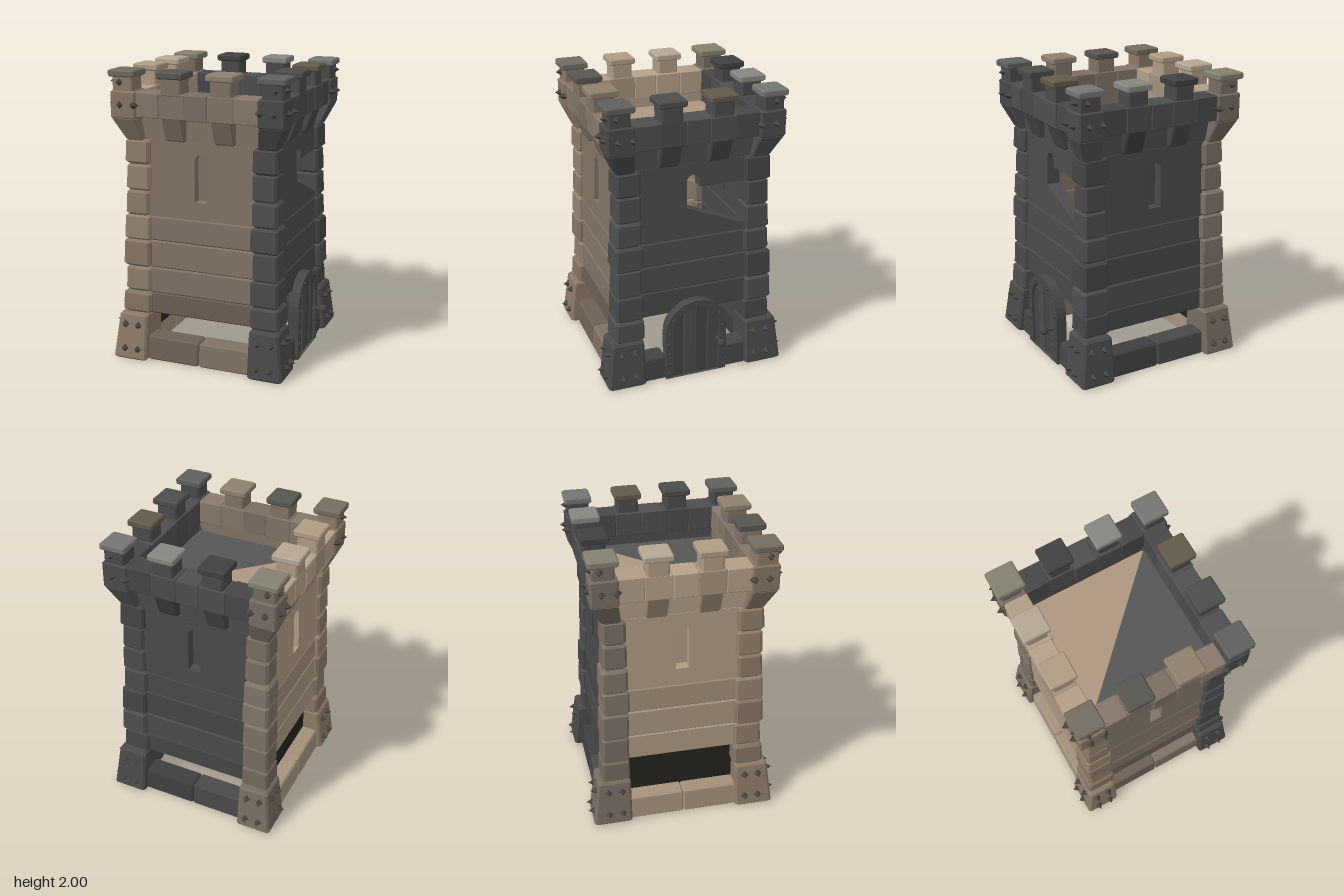
import * as THREE from 'three';

// small seeded generator for uneven masonry
let seed = 7;
const rnd = (a) => {
  seed = (seed * 16807) % 2147483647;
  return (seed / 2147483647 - 0.5) * 2 * a;
};

// colours by side: front, door side, back, blank side; corners run between them
const WALL = [0x817366, 0x4c4c4e, 0x4a4a4c, 0xae9a84];
const CORNER = [0x4a4a4c, 0x4a4a4c, 0x776d62, 0x8c7a68];
const CORNER_CAP = [0x5f5f5d, 0x747674, 0x83806e, 0x726c60];
const MERLON = [[0x585650, 0x8f806e], [0x4c4c4a, 0x635a4a], [0x868682, 0x414141], [0xb5a794, 0xb09c84]];
const IRON = 0x48443f, DOOR = 0x48484a, SHADE = 0x24221e;

function add(parent, name, geo, color, x = 0, y = 0, z = 0) {
  const m = new THREE.Mesh(geo, new THREE.MeshStandardMaterial({ color, flatShading: true }));
  m.name = name;
  m.position.set(x, y, z);
  parent.add(m);
  return m;
}

// slightly lighter or darker stone of the same colour
const vary = (color, k = 1) => new THREE.Color(color).multiplyScalar(k + rnd(0.14));

// closed solid through horizontal rings of equal point count
function loft(rings) {
  const n = rings[0].length, pos = rings.flat(2), idx = [];
  for (let r = 0; r < rings.length - 1; r++)
    for (let i = 0; i < n; i++) {
      const a = r * n + i, b = r * n + (i + 1) % n;
      idx.push(a, b, b + n, a, b + n, a + n);
    }
  const t = (rings.length - 1) * n;
  for (let i = 1; i < n - 1; i++) idx.push(t, t + i, t + i + 1, 0, i + 1, i);
  const g = new THREE.BufferGeometry();
  g.setAttribute('position', new THREE.Float32BufferAttribute(pos, 3));
  g.setIndex(idx);
  const flat = g.toNonIndexed();
  flat.computeVertexNormals();
  return flat;
}

// bevelled stone; lo and hi are [x0, x1, z0, z1] at its bottom and top
function stone(lo, hi, y0, y1, b = 0.01) {
  const ring = ([x0, x1, z0, z1], y, inset) => {
    x0 += inset; x1 -= inset; z0 += inset; z1 -= inset;
    return [[x1 - b, y, z1], [x1, y, z1 - b], [x1, y, z0 + b], [x1 - b, y, z0],
      [x0 + b, y, z0], [x0, y, z0 + b], [x0, y, z1 - b], [x0 + b, y, z1]];
  };
  return loft([ring(lo, y0, b), ring(lo, y0 + b, 0), ring(hi, y1 - b, 0), ring(hi, y1, b)]);
}

const levels = [0.33, 0.48, 0.66, 0.85, 1.02, 1.19, 1.37, 1.54];
const cornerOut = (y) => 0.56 - 0.035 * (y - 0.33) / 1.21;
const wallOut = (y) => cornerOut(y) - 0.025;
// corner bases reach further along z than along x
const baseOut = (y, alongZ) => (alongZ ? 0.635 : 0.615) - 0.11 * y;

// four-sided stud pointing to +z
const studGeo = new THREE.ConeGeometry(0.034, 0.05, 4).rotateX(Math.PI / 2);

// one corner column with base, flared head and merlon, at +x +z
function corner(g, k) {
  const sq = (i, o) => [i, o, i, o], color = CORNER[k];
  const base = (y) => [0.37, baseOut(y, k % 2), 0.37, baseOut(y, !(k % 2))];
  add(g, 'cornerBase', stone(base(0), base(0.33), 0, 0.33, 0.014), color);
  for (let i = 0; i < levels.length - 1; i++) {
    const o = cornerOut(levels[i]) + rnd(0.008), n = 0.365 + rnd(0.01);
    add(g, 'cornerStone', stone(sq(n, o + 0.002), sq(n, o - 0.004), levels[i], levels[i + 1], 0.012 + Math.abs(rnd(0.008))), vary(color));
  }
  add(g, 'cornerCorbel', stone(sq(0.4, 0.53), sq(0.425, 0.595), 1.53, 1.69), vary(color));
  add(g, 'cornerParapet', stone(sq(0.42, 0.6), sq(0.42, 0.6), 1.68, 1.865), vary(color));
  merlon(g, 0.515, 0.515, 0.094, color, CORNER_CAP[k]);
}

function merlon(g, x, z, h, color, capColor) {
  const s = h - 0.022, t = h - rnd(0.004);
  const box = (r) => [x - r, x + r, z - r, z + r];
  add(g, 'merlon', stone(box(s), box(s), 1.84, 1.975), color);
  add(g, 'merlonCap', stone(box(t), box(t), 1.955, 2, 0.008), capColor);
}

function archShape(S, half, y0, spring) {
  const s = new S();
  s.moveTo(-half, y0);
  s.lineTo(half, y0);
  s.lineTo(half, spring);
  s.absarc(0, spring, half, 0, Math.PI, false);
  s.lineTo(-half, y0);
  return s;
}

const polygon = (points) => new THREE.Shape(points.map((p) => new THREE.Vector2(...p)));

// upper wall with an arched slit; the broken one has a gap beside the slit
function upperWall(g, broken, color) {
  let s;
  if (broken) {
    s = polygon([[-0.38, 1.02], [0.38, 1.02], [0.38, 1.06], [-0.045, 1.23], [-0.045, 1.415]]);
    s.absarc(0, 1.415, 0.045, Math.PI, 0, true);
    for (const p of [[0.045, 1.37], [0.38, 1.37], [0.38, 1.54], [-0.38, 1.54]]) s.lineTo(...p);
  } else {
    s = polygon([[-0.38, 1.02], [0.38, 1.02], [0.38, 1.54], [-0.38, 1.54]]);
    s.holes.push(archShape(THREE.Path, 0.045, 1.14, 1.415));
    add(g, 'slitBack', new THREE.BoxGeometry(0.12, 0.36, 0.03), color, 0, 1.3, wallOut(1.3) - 0.085);
  }
  const geo = new THREE.ExtrudeGeometry(s, { depth: 0.09, bevelEnabled: false, curveSegments: 8 });
  geo.translate(0, -1.02, -0.09).rotateX(-0.029);
  add(g, 'upperWall', geo, color, 0, 1.02, wallOut(1.02));
}

// studded arched door with plank leaf and round handle
function door(g) {
  const spring = 0.355, R = 0.22, r = 0.17;
  const f = archShape(THREE.Shape, R, 0, spring);
  f.holes.push(archShape(THREE.Path, r, 0.002, spring));
  add(g, 'doorFrame', new THREE.ExtrudeGeometry(f, { depth: 0.075, bevelEnabled: false, curveSegments: 10 }), DOOR, 0, 0, 0.52);
  for (let i = 0; i < 4; i++) {
    const x0 = -r + i * r / 2 + 0.003, x1 = x0 + r / 2 - 0.006, pts = [[x0, 0], [x1, 0]];
    for (let k = 0; k <= 4; k++) {
      const x = x1 + (x0 - x1) * k / 4;
      pts.push([x, spring + Math.sqrt(r * r - x * x)]);
    }
    add(g, 'doorPlank', new THREE.ExtrudeGeometry(polygon(pts), { depth: 0.04, bevelEnabled: false }), vary(DOOR), 0, 0, 0.535 + (i % 2) * 0.005);
  }
  const rivet = new THREE.SphereGeometry(0.012, 6, 4);
  for (const s of [-1, 1])
    for (let i = 0; i < 5; i++) add(g, 'doorRivet', rivet, IRON, s * 0.195, 0.04 + i * 0.078, 0.596);
  for (let i = 1; i < 6; i++) {
    const a = i * Math.PI / 6;
    add(g, 'doorRivet', rivet, IRON, 0.195 * Math.cos(a), spring + 0.195 * Math.sin(a), 0.596);
  }
  add(g, 'handleStem', new THREE.CylinderGeometry(0.01, 0.014, 0.09, 6).rotateX(Math.PI / 2), IRON, 0.16, 0.25, 0.615);
  add(g, 'handleKnob', new THREE.IcosahedronGeometry(0.029, 1), IRON, 0.16, 0.25, 0.661);
}

// one side built facing +z; k: 0 front, 1 door side, 2 back, 3 blank side
function side(g, k) {
  const color = WALL[k];
  // ground sill in two stones, parted for the door
  const gap = k === 1 ? 0.215 : 0.002;
  for (const [a, b] of [[-0.38, -gap], [gap, 0.38]])
    add(g, 'sill', stone([a, b, 0.43, 0.58], [a, b, 0.43, 0.57], 0, 0.17), vary(color, 0.85));
  if (k === 3) add(g, 'lowerPanel', new THREE.BoxGeometry(0.8, 0.36, 0.04), SHADE, 0, 0.33, 0.44);

  // plank courses
  for (let i = k % 2 ? 1 : 0; i < 4; i++) {
    const o = wallOut(levels[i]) + rnd(0.004), e = [-0.385, 0.385, o - 0.1];
    add(g, 'wallCourse', stone([...e, o], [...e, o - 0.006], levels[i], levels[i + 1]), vary(color, i ? 0.95 : 0.72));
  }
  upperWall(g, k === 1, color);
  add(g, 'neckWall', new THREE.BoxGeometry(0.86, 0.17, 0.065), color, 0, 1.62, 0.4625);

  // corbels, parapet stones and merlons
  [-0.175, 0.17].forEach((x, i) => {
    const e = [x - 0.072, x + 0.072, 0.45];
    add(g, 'corbel', stone([...e, 0.525], [...e, 0.58], 1.54, 1.71), vary(color, 0.85));
    merlon(g, x, 0.512, 0.094, color, MERLON[k][i]);
  });
  const cuts = [-0.43, -0.26, -0.08, 0.08, 0.26, 0.43];
  for (let i = 0; i < 5; i++) {
    const o = 0.586 + rnd(0.006), e = [cuts[i], cuts[i + 1], 0.425 + rnd(0.006)];
    add(g, 'parapetStone', stone([...e, o], [...e, o], 1.695, 1.86, 0.005), vary(color));
  }

  // studs on the corner bases and heads
  for (const s of [-1, 1]) {
    for (const x of [0.435, 0.53]) {
      for (const y of [0.08, 0.25]) add(g, 'stud', studGeo, IRON, s * x, y, baseOut(y, !(k % 2)) + 0.015);
      add(g, 'stud', studGeo, IRON, s * x, 1.775, 0.613);
    }
    add(g, 'stud', studGeo, IRON, s * 0.535, 1.92, 0.6);
  }
  if (k === 1) door(g);
}

export function createModel() {
  const model = new THREE.Group();
  model.name = 'castleTower';
  const tower = new THREE.Group();
  tower.name = 'tower';
  tower.position.set(-0.027, 0, -0.006);
  model.add(tower);
  for (let k = 0; k < 4; k++) {
    const s = new THREE.Group(), c = new THREE.Group();
    s.name = ['frontWall', 'doorWall', 'backWall', 'blankWall'][k];
    c.name = 'cornerColumn';
    s.rotation.y = c.rotation.y = k * Math.PI / 2;
    side(s, k);
    corner(c, k);
    tower.add(s, c);
  }
  // roof deck in two triangular halves
  for (const [s, color] of [[-1, 0xae9781], [1, 0x565656]]) {
    const half = polygon([[s * 0.45, -s * 0.45], [0.45, 0.45], [-0.45, -0.45]]);
    add(tower, 'roofDeck', new THREE.ExtrudeGeometry(half, { depth: 0.04, bevelEnabled: false }).rotateX(-Math.PI / 2), color, 0, 1.59, 0);
  }
  return model;
}
